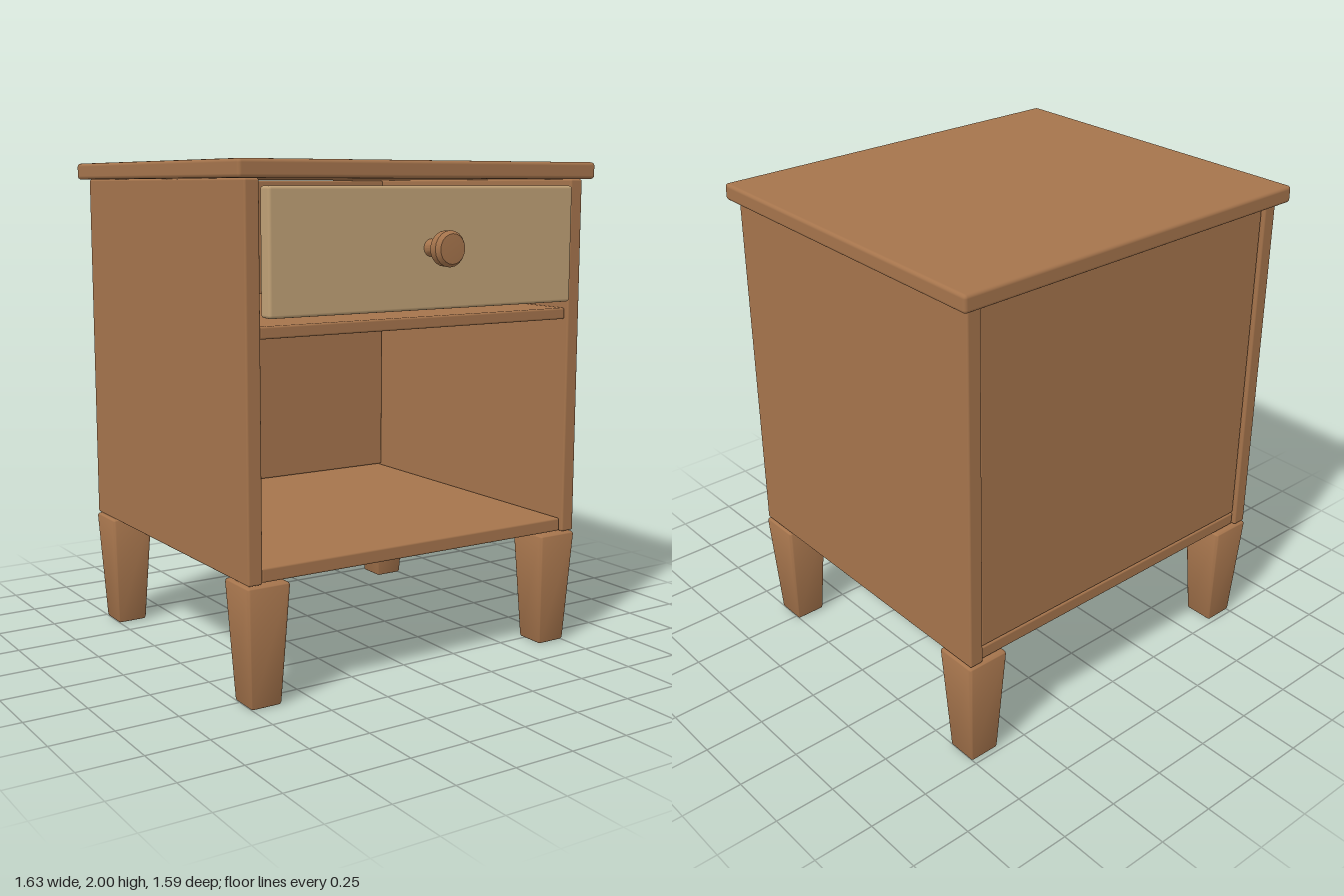
import * as THREE from 'three';
import { RoundedBoxGeometry } from 'three/addons/geometries/RoundedBoxGeometry.js';
import { toCreasedNormals } from 'three/addons/utils/BufferGeometryUtils.js';

export function createModel() {
  const model = new THREE.Group();
  model.name = 'nightstand';

  const wood = new THREE.MeshStandardMaterial({ color: 0xa5744c });
  wood.name = 'brown wood';
  const paleWood = new THREE.MeshStandardMaterial({ color: 0xc0a176 });
  paleWood.name = 'pale wood';

  function add(name, geometry, material) {
    const mesh = new THREE.Mesh(geometry, material);
    mesh.name = name;
    model.add(mesh);
    return mesh;
  }

  // Board with softened edges, given by its limits on each axis
  function board(name, [x0, x1], [y0, y1], [z0, z1], material = wood, radius = 0.008) {
    const geometry = new RoundedBoxGeometry(x1 - x0, y1 - y0, z1 - z0, 2, radius);
    add(name, geometry, material)
      .position.set((x0 + x1) / 2, (y0 + y1) / 2, (z0 + z1) / 2);
  }

  // Cabinet boards
  board('tabletop', [-0.815, 0.815], [1.933, 2], [-0.793, 0.657], wood, 0.014);
  board('leftSide', [0.715, 0.775], [0.48, 1.933], [-0.755, 0.625]);
  board('rightSide', [-0.775, -0.715], [0.48, 1.933], [-0.755, 0.625]);
  board('bottomPanel', [-0.712, 0.712], [0.482, 0.537], [-0.742, 0.612]);
  board('shelf', [-0.712, 0.712], [1.37, 1.416], [-0.705, 0.612]);
  board('backPanel', [-0.712, 0.712], [0.54, 1.931], [-0.742, -0.705]);

  // Drawer front, standing slightly proud of the sides
  board('drawerFront', [-0.697, 0.697], [1.445, 1.907], [0.59, 0.656], paleWood, 0.012);

  // Turned knob
  const knobProfile = [
    [0.034, 0], [0.028, 0.015], [0.028, 0.045], [0.066, 0.084],
    [0.068, 0.118], [0.056, 0.135], [0, 0.138],
  ].map(([r, y]) => new THREE.Vector2(r, y));
  const knobGeometry = toCreasedNormals(new THREE.LatheGeometry(knobProfile, 20), 0.45);
  const knob = add('knob', knobGeometry, wood);
  knob.rotation.x = Math.PI / 2;
  knob.position.set(0, 1.678, 0.655);

  // Square legs tapering evenly towards the floor
  const legHeight = 0.475;
  const legRounded = new RoundedBoxGeometry(0.184, legHeight, 0.184, 2, 0.014);
  const p = legRounded.attributes.position;
  for (let i = 0; i < p.count; i++) {
    const t = p.getY(i) / legHeight + 0.5;
    const s = THREE.MathUtils.lerp(0.7, 1, t);
    p.setX(i, p.getX(i) * s);
    p.setZ(i, p.getZ(i) * s);
  }
  const legGeometry = toCreasedNormals(legRounded, 0.9);
  for (const [end, z] of [['front', 0.538], ['back', -0.668]]) {
    for (const [side, x] of [['Left', 0.69], ['Right', -0.69]]) {
      add(`${end}${side}Leg`, legGeometry, wood).position.set(x, legHeight / 2, z);
    }
  }

  return model;
}
